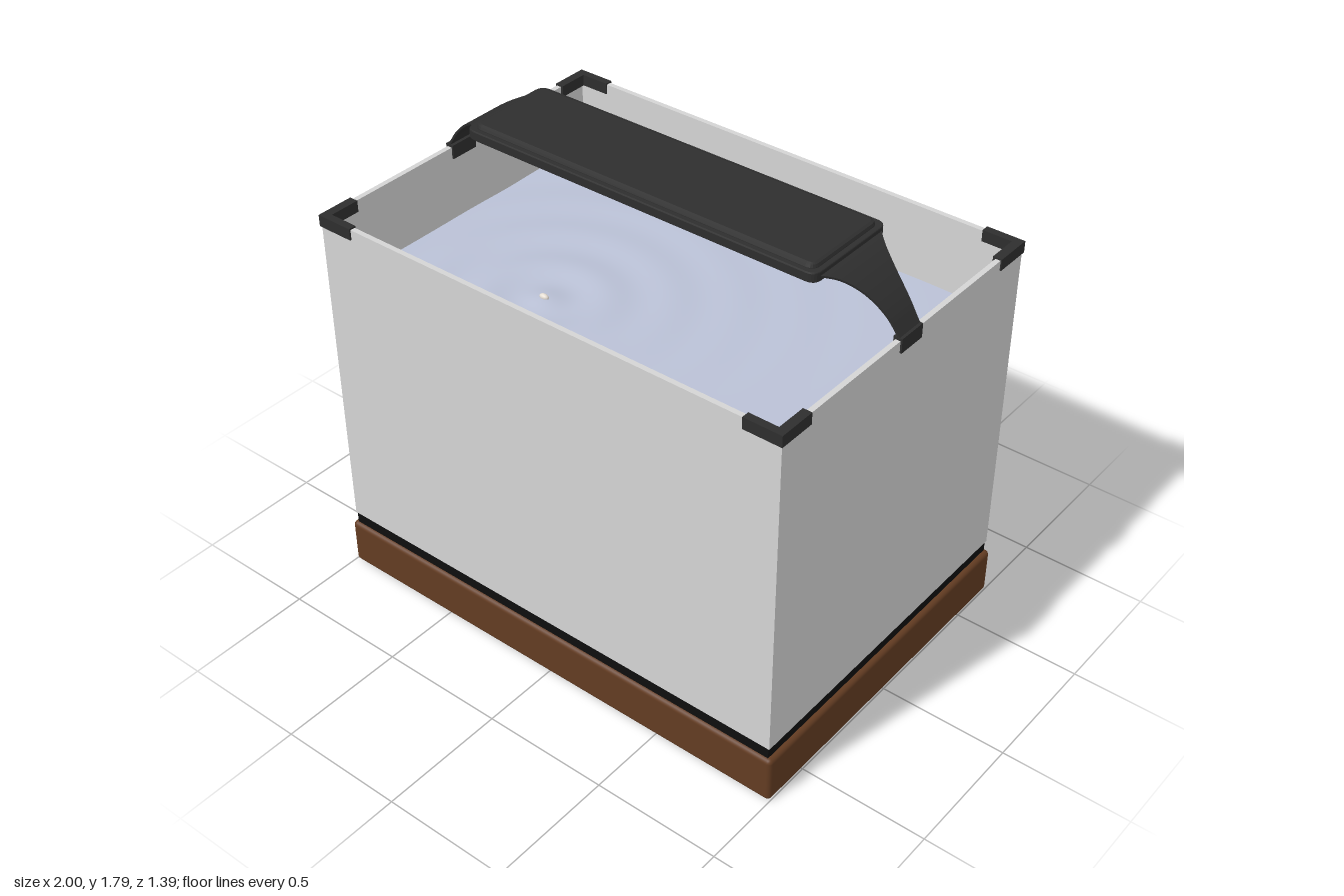
import * as THREE from 'three';
import { RoundedBoxGeometry } from 'three/addons/geometries/RoundedBoxGeometry.js';

const mat = (name, color, side = THREE.FrontSide) => {
  const m = new THREE.MeshStandardMaterial({ color, side });
  m.name = name;
  return m;
};

export function createModel() {
  const wood = mat('wood', 0x633c22);
  const trim = mat('trim black', 0x0e0e0e);
  const plastic = mat('dark plastic', 0x2e2e2e);
  const sheet = mat('dark sheet', 0x2e2e2e, THREE.DoubleSide);
  const glass = mat('glass', 0xd4d4d4);
  const water = mat('water', 0xbac1d6, THREE.DoubleSide);
  const pale = mat('pale pebble', 0xe6ded4);

  const model = new THREE.Group();
  model.name = 'fishTank';
  const add = (name, geo, material, x = 0, y = 0, z = 0, parent = model) => {
    const m = new THREE.Mesh(geo, material);
    m.name = name;
    m.position.set(x, y, z);
    parent.add(m);
    return m;
  };
  const box = (name, w, h, d, material, x, y, z, parent) =>
    add(name, new THREE.BoxGeometry(w, h, d), material, x, y, z, parent);

  // wooden plinth and black trim
  add('base', new RoundedBoxGeometry(2, 0.19, 1.394, 3, 0.018), wood, 0, 0.095, 0);
  box('bottomTrim', 1.96, 0.05, 1.365, trim, 0, 0.21, 0);

  // four glass panes
  const bottom = 0.235, top = 1.56, mid = (bottom + top) / 2, t = 0.02;
  for (const s of [-1, 1]) {
    box(s > 0 ? 'frontGlass' : 'backGlass', 1.97, top - bottom, t, glass, 0, mid, s * 0.675);
    box(s > 0 ? 'leftGlass' : 'rightGlass', t, top - bottom, 1.33, glass, s * 0.975, mid, 0);
  }

  // L-shaped corner clips
  for (const sx of [-1, 1]) for (const sz of [-1, 1]) {
    const clip = new THREE.Group();
    clip.name = 'cornerClip';
    model.add(clip);
    box('clipLong', 0.15, 0.045, 0.03, plastic, sx * 0.915, 1.5435, sz * 0.676, clip);
    box('clipShort', 0.035, 0.045, 0.12, plastic, sx * 0.9725, 1.5435, sz * 0.601, clip);
  }

  // rippled water surface, rings spreading from one point
  const cx = -0.35, cz = 0.26;
  const surface = new THREE.PlaneGeometry(1.93, 1.33, 120, 84).rotateX(-Math.PI / 2);
  const p = surface.attributes.position;
  for (let i = 0; i < p.count; i++) {
    const r = Math.hypot(p.getX(i) - cx, p.getZ(i) - cz);
    const wave = 0.007 * Math.cos(r * 28) * Math.exp(-r * 2.2);
    p.setY(i, wave + 0.0015 * Math.sin(p.getX(i) * 7 + p.getZ(i) * 4));
  }
  surface.computeVertexNormals();
  add('waterSurface', surface, water, 0, 1.265, 0);
  const pebble = add('floatingPebble', new THREE.SphereGeometry(0.02, 12, 8), pale, cx, 1.272, cz);
  pebble.scale.set(1, 0.6, 0.6);

  // lamp: rounded slab with a bevelled cover
  const slab = (w, d, r, h, bevel) => {
    const x = w / 2 - bevel, y = d / 2 - bevel, s = new THREE.Shape();
    s.moveTo(-x + r, -y).lineTo(x - r, -y).quadraticCurveTo(x, -y, x, -y + r);
    s.lineTo(x, y - r).quadraticCurveTo(x, y, x - r, y);
    s.lineTo(-x + r, y).quadraticCurveTo(-x, y, -x, y - r);
    s.lineTo(-x, -y + r).quadraticCurveTo(-x, -y, -x + r, -y);
    return new THREE.ExtrudeGeometry(s, {
      depth: h - 2 * bevel, bevelEnabled: true, bevelSize: bevel, bevelThickness: bevel,
      bevelSegments: 2, curveSegments: 6,
    }).translate(0, 0, bevel).rotateX(-Math.PI / 2);
  };
  add('lampBody', slab(1.49, 0.4, 0.035, 0.037, 0.004), plastic, 0, 1.742, 0);
  add('lampCover', slab(1.45, 0.36, 0.02, 0.03, 0.014), plastic, 0, 1.765, 0);

  // curved arms: thin flared strips sweeping from tank rim to lamp
  const path = new THREE.CatmullRomCurve3([
    [0.983, 1.56], [0.93, 1.635], [0.86, 1.7], [0.79, 1.743], [0.73, 1.764],
  ].map(([x, y]) => new THREE.Vector3(x, y, 0)));
  const n = 24, pos = [], index = [];
  for (let i = 0; i <= n; i++) {
    const u = i / n, c = path.getPoint(u), tan = path.getTangent(u);
    const half = 0.058 + 0.125 * Math.pow(u, 2.1);
    const nx = tan.y * 0.004, ny = -tan.x * 0.004;
    for (const [k, z] of [[1, -half], [1, half], [-1, half], [-1, -half]])
      pos.push(c.x + k * nx, c.y + k * ny, z);
    if (i < n) for (let j = 0; j < 4; j++) {
      const a = i * 4 + j, b = i * 4 + (j + 1) % 4;
      index.push(a, a + 4, b, b, a + 4, b + 4);
    }
  }
  const strip = new THREE.BufferGeometry();
  strip.setAttribute('position', new THREE.Float32BufferAttribute(pos, 3));
  strip.setIndex(index);
  const armGeo = strip.toNonIndexed();
  armGeo.computeVertexNormals();
  for (const s of [-1, 1]) {
    const arm = new THREE.Group();
    arm.name = s > 0 ? 'leftArm' : 'rightArm';
    arm.rotation.y = s > 0 ? 0 : Math.PI;
    model.add(arm);
    add('armStrip', armGeo, sheet, 0, 0, 0, arm);
    box('rimClip', 0.034, 0.055, 0.118, plastic, 0.975, 1.5425, 0, arm);
  }
  return model;
}
